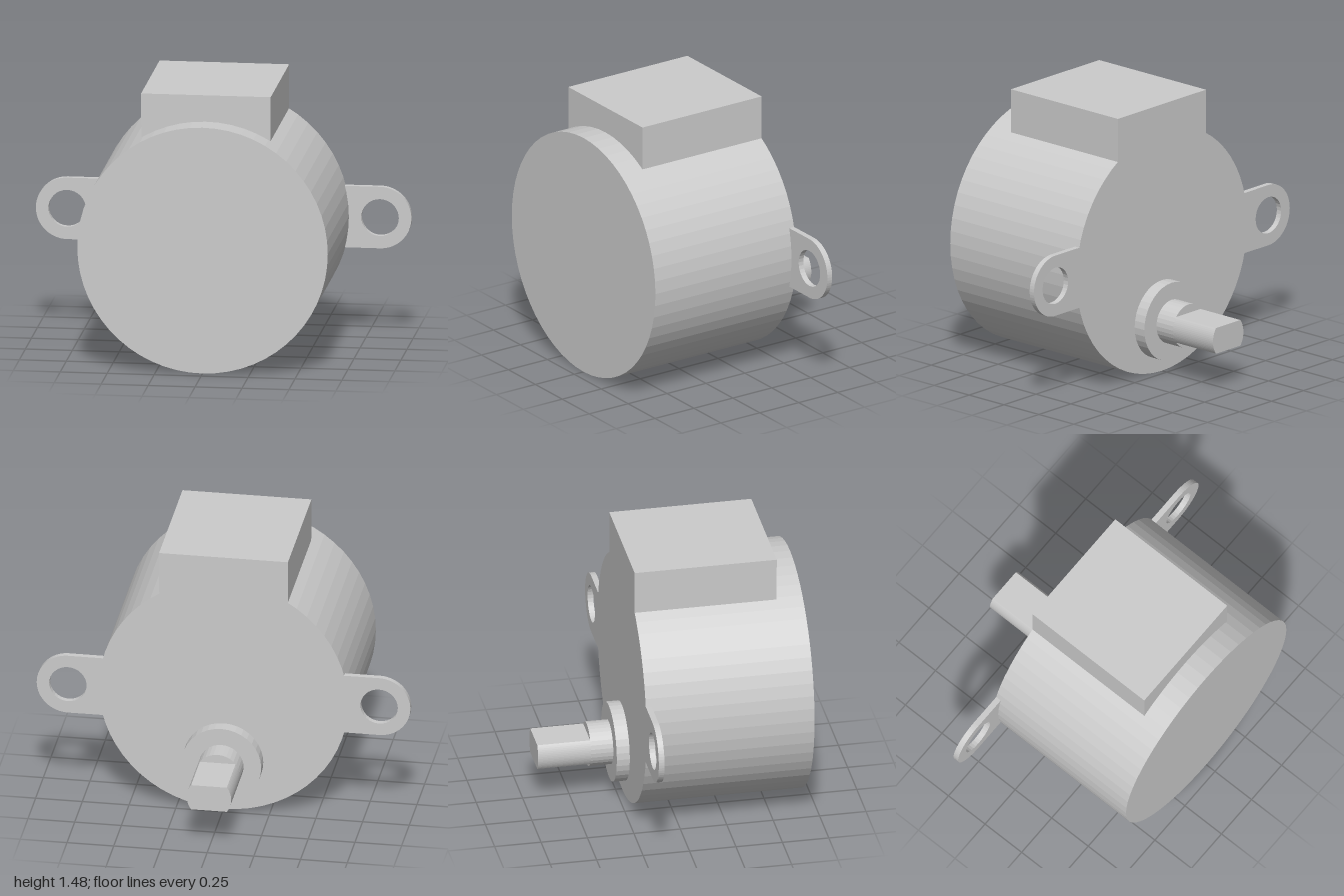
import * as THREE from 'three';

const BODY_R = 0.667, BODY_Y = 0.667, SHAFT_Y = 0.29, BACK = -0.215;

export function createModel() {
  const model = new THREE.Group();
  const material = new THREE.MeshStandardMaterial({ color: 0xcccccc, flatShading: true });

  const add = (name, geometry, x, y, z) => {
    const mesh = new THREE.Mesh(geometry, material);
    mesh.name = name;
    mesh.position.set(x, y, z);
    model.add(mesh);
    return mesh;
  };

  // Cylinder lying along z between two depths
  const disc = (name, radius, y, z0, z1, sides) =>
    add(name, new THREE.CylinderGeometry(radius, radius, z1 - z0, sides).rotateX(Math.PI / 2), 0, y, (z0 + z1) / 2);

  // Flat profile extruded along z between two depths
  const plate = (name, shape, y, z0, z1, curveSegments = 16) =>
    add(name, new THREE.ExtrudeGeometry(shape, { depth: z1 - z0, bevelEnabled: false, curveSegments }), 0, y, z0);

  // Round motor can
  disc('motorCan', BODY_R, BODY_Y, BACK, 0.69, 60);

  // Wire housing, its underside following the can
  const halfW = 0.345, top = 1.477 - BODY_Y;
  const a = Math.acos(halfW / BODY_R);
  const housing = new THREE.Shape();
  housing.moveTo(halfW, top);
  housing.lineTo(-halfW, top);
  housing.absarc(0, 0, BODY_R - 0.002, Math.PI - a, a, true);
  housing.closePath();
  plate('wireHousing', housing, BODY_Y, BACK, 0.55);

  // Mounting ears with screw holes, flush with the back face
  const earX = 0.833, earR = 0.167, holeR = 0.1;
  const b = Math.asin(earR / BODY_R);
  for (const side of [1, -1]) {
    const turn = side > 0 ? 0 : Math.PI;
    const ear = new THREE.Shape();
    ear.absarc(side * earX, 0, earR, turn - Math.PI / 2, turn + Math.PI / 2, false);
    ear.absarc(0, 0, BODY_R - 0.002, turn + b, turn - b, true);
    ear.closePath();
    const hole = new THREE.Path();
    hole.absarc(side * earX, 0, holeR, 0, Math.PI * 2, true);
    ear.holes.push(hole);
    plate(side > 0 ? 'leftMountingEar' : 'rightMountingEar', ear, BODY_Y, BACK, BACK + 0.031);
  }

  // Bearing boss and round base of the off-centre output shaft
  disc('shaftBoss', 0.213, SHAFT_Y, -0.285, BACK, 36);
  disc('shaftBase', 0.119, SHAFT_Y, -0.405, -0.285, 32);

  // Shaft tip with two parallel flats, above and below
  const c = Math.asin(0.071 / 0.119);
  const tip = new THREE.Shape();
  tip.absarc(0, 0, 0.119, -c, c, false);
  tip.absarc(0, 0, 0.119, Math.PI - c, Math.PI + c, false);
  tip.closePath();
  plate('shaftTip', tip, SHAFT_Y, -0.69, -0.405, 8);

  return model;
}
